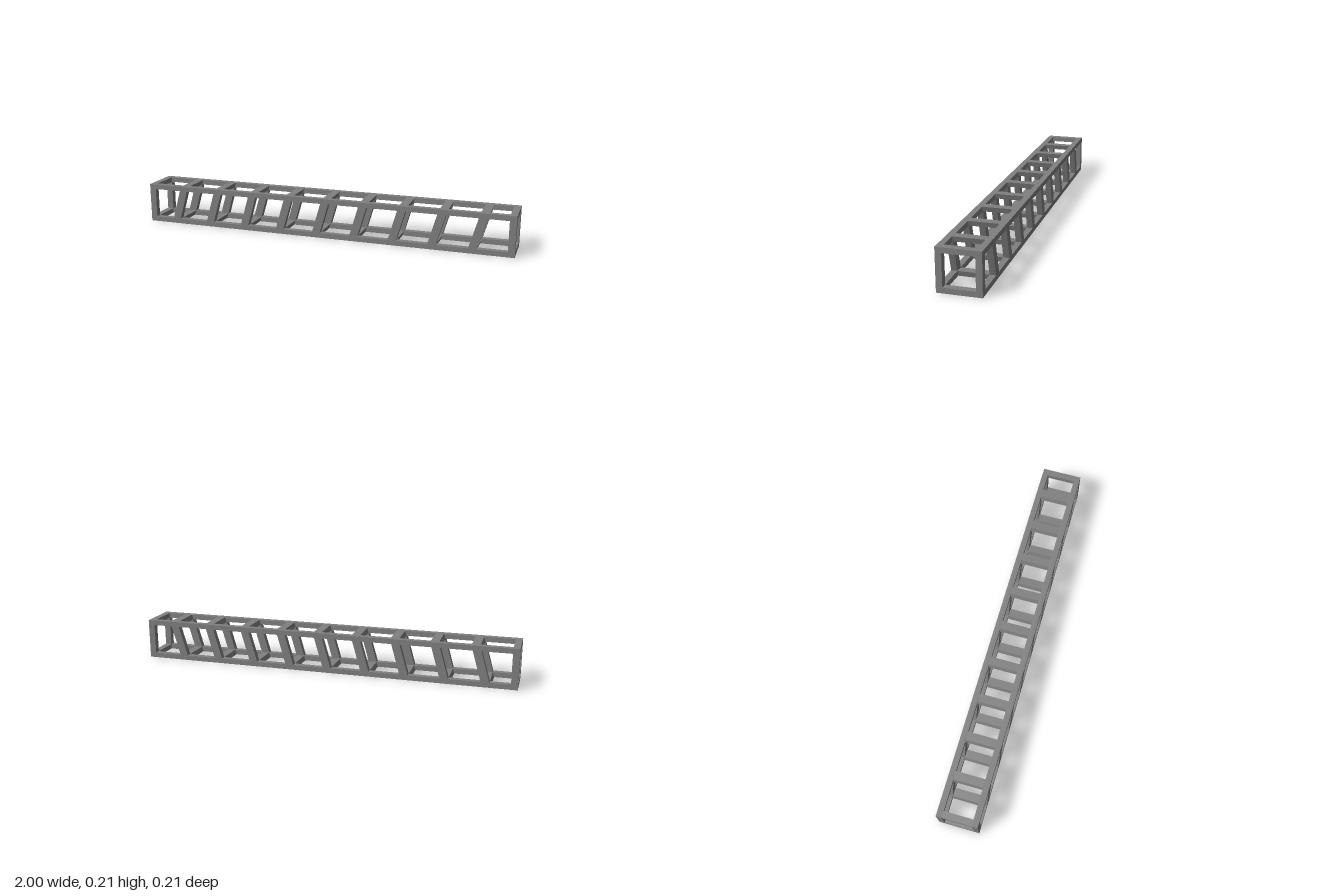
import * as THREE from 'three';

const SIZE = 0.21;   // height and depth of the truss
const TY = 0.026;    // chord height
const TZ = 0.03;     // chord depth
const MID = SIZE / 2;

export function createModel() {
  const steel = new THREE.MeshStandardMaterial({ color: 0x808080 });
  steel.name = 'steelGrey';
  const truss = new THREE.Group();
  truss.name = 'boxTruss';

  // Box that leans along x by `slope` per unit of height about the truss axis
  function bar(parent, name, w, h, d, x, y, z, slope = 0) {
    const g = new THREE.BoxGeometry(w, h, d);
    g.translate(0, y - MID, z);
    const p = g.attributes.position;
    for (let i = 0; i < p.count; i++) p.setX(i, p.getX(i) + slope * p.getY(i));
    g.computeVertexNormals();
    g.translate(x, MID, 0);
    const m = new THREE.Mesh(g, steel);
    m.name = name;
    parent.add(m);
  }

  // Square ring fitted between the four chords: two legs and two crossbars
  function ring(name, x, w, slope) {
    const group = new THREE.Group();
    group.name = name;
    for (const s of [-1, 1]) {
      bar(group, s > 0 ? 'frontLeg' : 'backLeg', w, SIZE - 2 * TY, TZ, x, MID, s * (MID - TZ / 2), slope);
      bar(group, s > 0 ? 'topCrossbar' : 'bottomCrossbar', w, TY, SIZE - 2 * TZ, x, MID + s * (MID - TY / 2), 0, slope);
    }
    truss.add(group);
  }

  // Four long chords
  for (const sy of [-1, 1]) {
    for (const sz of [-1, 1]) {
      bar(truss, (sy > 0 ? 'top' : 'bottom') + (sz > 0 ? 'Front' : 'Back') + 'Chord',
        2, TY, TZ, 0, MID + sy * (MID - TY / 2), sz * (MID - TZ / 2));
    }
  }

  // Upright end frames
  ring('rightEndFrame', -0.983, 0.034, 0);
  ring('leftEndFrame', 0.983, 0.034, 0);

  // Nine leaning braces
  for (let i = 0; i < 9; i++) ring('leaningFrame' + (i + 1), -0.817 + i * 0.20425, 0.043, 0.29);

  return truss;
}
